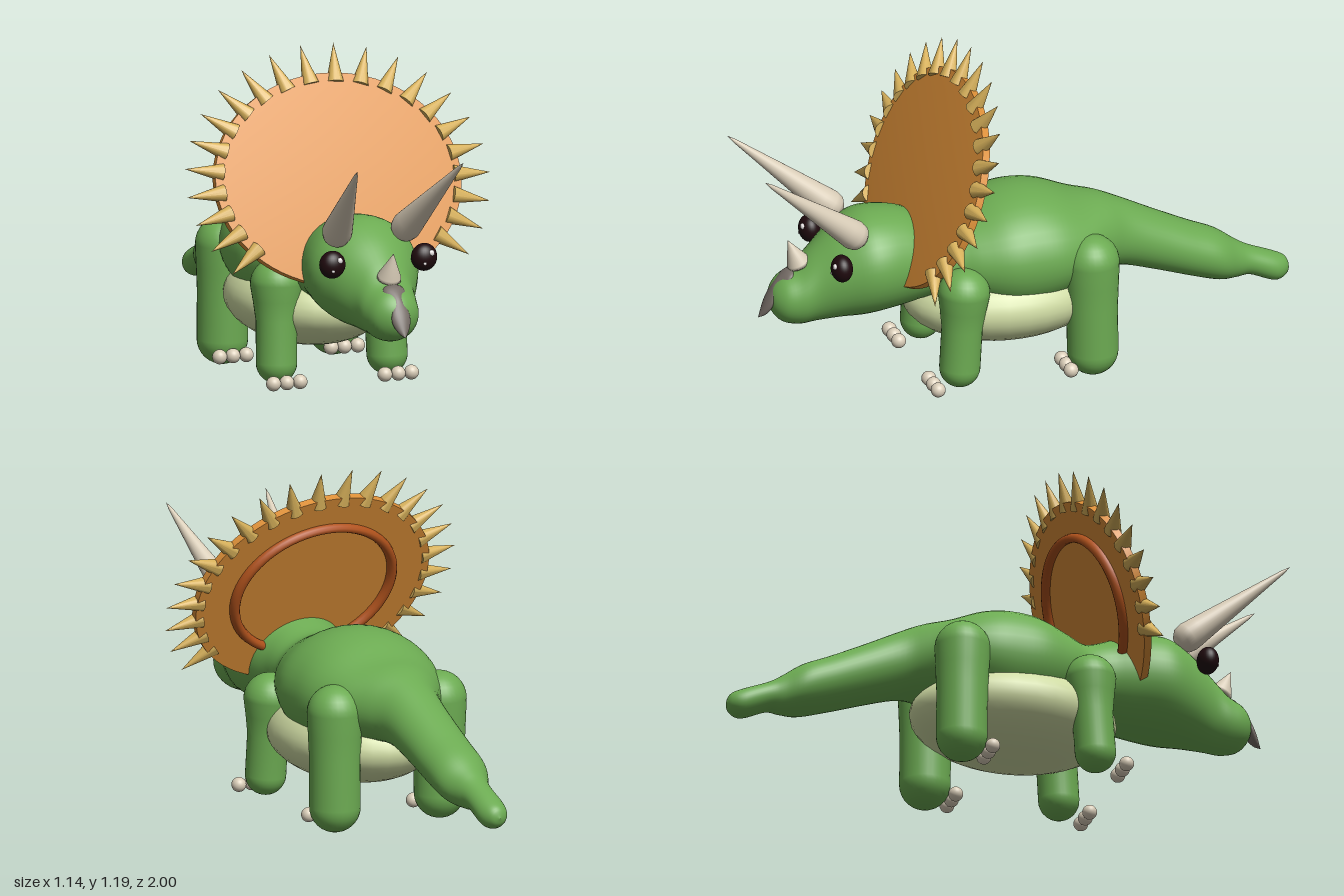
import * as THREE from 'three';
import { toCreasedNormals } from 'three/addons/utils/BufferGeometryUtils.js';

const V = (x, y, z) => new THREE.Vector3(x, y, z);
const paint = (name, color) => {
  const m = new THREE.MeshStandardMaterial({ color });
  m.name = name;
  return m;
};

// Smooth skin through elliptical rings: rows of [z, centreY, radiusX, radiusY], z rising
function loft(rows, steps, sides) {
  const path = new THREE.CatmullRomCurve3(rows.map(r => V(r[0], r[1], 0)), false, 'catmullrom', 0.5);
  const size = new THREE.CatmullRomCurve3(rows.map(r => V(r[2], r[3], 0)), false, 'catmullrom', 0.5);
  const n = (rows.length - 1) * steps;
  const pos = [], index = [];
  for (let i = 0; i <= n; i++) {
    const p = path.getPoint(i / n), s = size.getPoint(i / n);
    for (let j = 0; j < sides; j++) {
      const a = (j / sides) * Math.PI * 2;
      pos.push(Math.max(s.x, 0) * Math.cos(a), p.y + Math.max(s.y, 0) * Math.sin(a), p.x);
      if (i < n) {
        const k = (j + 1) % sides, b = i * sides, c = b + sides;
        index.push(b + j, b + k, c + j, b + k, c + k, c + j);
      }
    }
  }
  const g = new THREE.BufferGeometry();
  g.setAttribute('position', new THREE.Float32BufferAttribute(pos, 3));
  g.setIndex(index);
  g.computeVertexNormals();
  return g;
}

const lathe = (pts, sides) =>
  new THREE.LatheGeometry(pts.map(p => new THREE.Vector2(p[0], p[1])), sides);

export function createModel() {
  const model = new THREE.Group();
  model.name = 'hornedDinosaur';

  const green = paint('skin green', 0x6cab52);
  const cream = paint('belly cream', 0xcfdba3);
  const orange = paint('frill orange', 0xdc8f38);
  const rust = paint('frill ring rust', 0xb0521c);
  const gold = paint('spike gold', 0xd6b05a);
  const bone = paint('horn bone', 0xd9cdb8);
  const grey = paint('beak grey', 0x746b65);
  const dark = paint('eye dark', 0x1f0a0e);
  const white = paint('eye glint', 0xf4eeee);

  const add = (name, geo, mat, parent = model) => {
    const m = new THREE.Mesh(geo, mat);
    m.name = name;
    parent.add(m);
    return m;
  };
  const ball = (name, mat, c, r, parent = model) => {
    const m = add(name, new THREE.SphereGeometry(1, 32, 20), mat, parent);
    m.position.copy(c);
    m.scale.copy(r);
    return m;
  };
  // Place a shape that grows along +y at base, pointing to tip
  const aim = (mesh, base, tip) => {
    mesh.position.copy(base);
    mesh.quaternion.setFromUnitVectors(V(0, 1, 0), tip.clone().sub(base).normalize());
    return mesh;
  };

  // Tail, torso, neck and head as one skin
  add('body', loft([
    [-1, 0.2, 0, 0], [-0.985, 0.203, 0.033, 0.033], [-0.94, 0.208, 0.054, 0.053],
    [-0.85, 0.245, 0.055, 0.054], [-0.8, 0.26, 0.068, 0.07], [-0.73, 0.287, 0.1, 0.092],
    [-0.63, 0.325, 0.106, 0.1], [-0.5, 0.38, 0.109, 0.11], [-0.38, 0.43, 0.12, 0.122],
    [-0.3, 0.452, 0.16, 0.134], [-0.21, 0.455, 0.22, 0.152], [-0.1, 0.452, 0.262, 0.198],
    [0, 0.45, 0.27, 0.216], [0.1, 0.45, 0.262, 0.203], [0.2, 0.45, 0.222, 0.163],
    [0.28, 0.45, 0.178, 0.138], [0.36, 0.46, 0.166, 0.152], [0.44, 0.47, 0.182, 0.175],
    [0.53, 0.472, 0.2, 0.187], [0.6, 0.465, 0.195, 0.186], [0.68, 0.442, 0.158, 0.165],
    [0.76, 0.404, 0.115, 0.134], [0.82, 0.373, 0.102, 0.106], [0.875, 0.366, 0.082, 0.083],
    [0.908, 0.366, 0.043, 0.044], [0.917, 0.366, 0, 0],
  ], 5, 40), green);

  ball('belly', cream, V(0, 0.28, 0.05), V(0.275, 0.16, 0.37));

  // Hooked beak hugging the front of the snout
  add('beak', loft([
    [0.82, 0.455, 0, 0], [0.835, 0.452, 0.036, 0.02], [0.86, 0.44, 0.041, 0.024],
    [0.895, 0.402, 0.025, 0.03], [0.915, 0.365, 0.035, 0.033],
    [0.935, 0.335, 0.024, 0.024], [0.957, 0.303, 0, 0],
  ], 4, 24), grey);

  aim(add('noseHorn', lathe([[0, 0], [0.043, 0], [0.041, 0.012], [0.02, 0.06], [0, 0.106]], 28), bone),
    V(0, 0.487, 0.806), V(0, 0.584, 0.848));

  for (const s of [1, -1]) {
    const side = s > 0 ? 'left' : 'right';

    // Brow horn with a rounded base
    aim(add(side + 'BrowHorn', lathe([
      [0, -0.02], [0.03, -0.015], [0.048, 0.004], [0.053, 0.03], [0.049, 0.07],
      [0.036, 0.19], [0.02, 0.335], [0.007, 0.455], [0, 0.488],
    ], 32), bone), V(s * 0.126, 0.615, 0.628), V(s * 0.2, 0.92, 1.0));

    // Eye with two glints
    ball(side + 'Eye', dark, V(s * 0.173, 0.531, 0.708), V(0.047, 0.049, 0.038));
    ball(side + 'EyeGlint', white, V(s * 0.173 + 0.016, 0.549, 0.738), V(0.011, 0.011, 0.008));
    ball(side + 'EyeSmallGlint', white, V(s * 0.173 - 0.01, 0.514, 0.741), V(0.006, 0.006, 0.005));

    // Legs, each with three round toes
    for (const leg of [
      { name: 'FrontLeg', foot: V(s * 0.21, 0.03, 0.29), top: V(s * 0.2, 0.47, 0.262), r: 0.072, R: 0.092, toe: 0.383 },
      { name: 'HindLeg', foot: V(s * 0.21, 0.004, -0.205), top: V(s * 0.208, 0.53, -0.2), r: 0.09, R: 0.098, toe: -0.107 },
    ]) {
      const { r, R } = leg, h = leg.foot.distanceTo(leg.top), pts = [];
      for (let i = 0; i <= 8; i++) {
        const a = (i / 8) * Math.PI / 2;
        pts.push([r * Math.sin(a), r - r * Math.cos(a)]);
      }
      pts.push([r, h * 0.5], [r + (R - r) * 0.5, h * 0.66]);
      for (let i = 0; i <= 8; i++) {
        const a = (i / 8) * Math.PI / 2;
        pts.push([R * Math.cos(a), h - R + R * Math.sin(a)]);
      }
      aim(add(side + leg.name, lathe(pts, 32), green), leg.foot, leg.top);
      for (const d of [-0.05, 0, 0.05])
        ball(side + leg.name + 'Toe', bone, V(s * 0.21 + d, 0.05, leg.toe), V(0.026, 0.026, 0.026));
    }
  }

  // Frill: oval shield leaning back, with a ring behind and spikes round the rim
  const frill = new THREE.Group();
  frill.name = 'frill';
  frill.position.set(0, 0.745, 0.335);
  frill.rotation.x = -0.405;
  model.add(frill);

  const shield = lathe([[0, -0.015], [1, -0.015], [1, 0.013], [0.8, 0.018], [0.4, 0.023], [0, 0.025]], 72);
  shield.rotateX(Math.PI / 2);
  shield.scale(0.46, 0.38, 1);
  add('frillShield', toCreasedNormals(shield, 0.6), orange, frill);

  const ring = new THREE.TorusGeometry(1, 0.06, 12, 64);
  ring.scale(0.31, 0.258, 0.36);
  add('frillRing', ring, rust, frill).position.z = -0.02;

  const spike = toCreasedNormals(new THREE.ConeGeometry(0.031, 0.14, 20).translate(0, 0.07, 0), 0.8);
  for (let i = -11; i < 11; i++) {
    const a = (i + 0.5) * 0.2145, x = Math.sin(a), y = Math.cos(a);
    aim(add('frillSpike', spike, gold, frill), V(0.432 * x, 0.348 * y, 0.005), V(0.572 * x, 0.478 * y, 0.005));
  }

  return model;
}
